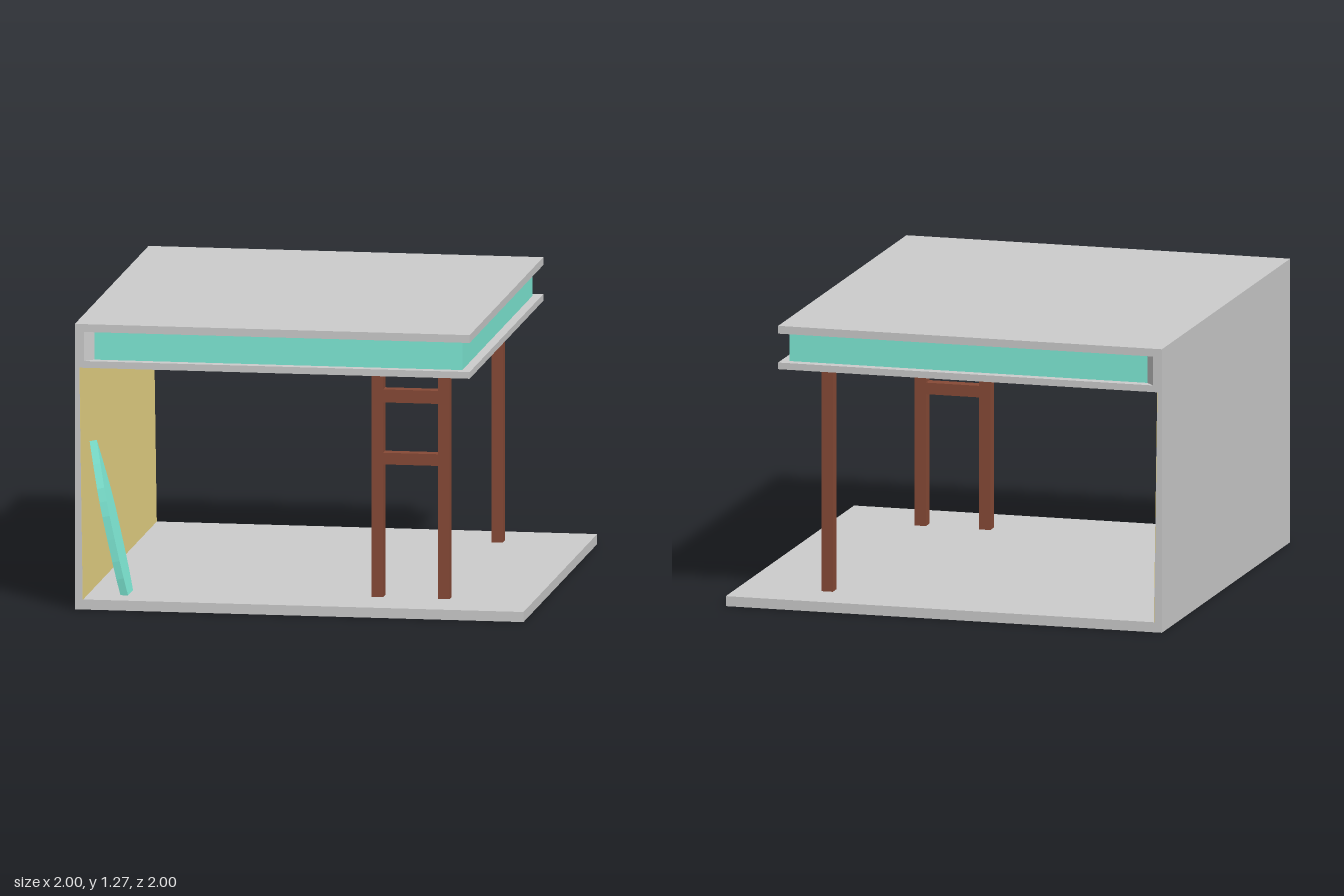
import * as THREE from 'three';

const paint = (color) => new THREE.MeshStandardMaterial({ color });

export function createModel() {
  const model = new THREE.Group();
  const grey = paint(0xcccccc);
  const teal = paint(0x7febd7);
  const brown = paint(0x874a36);
  const yellow = paint(0xe9d585);

  const add = (name, geometry, material) => {
    const mesh = new THREE.Mesh(geometry, material);
    mesh.name = name;
    model.add(mesh);
    return mesh;
  };
  // Box given by its lowest and highest corners
  const block = (name, material, [x0, y0, z0], [x1, y1, z1]) => {
    const mesh = add(name, new THREE.BoxGeometry(x1 - x0, y1 - y0, z1 - z0), material);
    mesh.position.set((x0 + x1) / 2, (y0 + y1) / 2, (z0 + z1) / 2);
    return mesh;
  };
  const extrude = (points, depth) => new THREE.ExtrudeGeometry(
    new THREE.Shape(points.map(([x, y]) => new THREE.Vector2(x, y))),
    { depth, bevelEnabled: false },
  );

  // Floor, tapering side wall, ceiling slab and roof slab as one section
  const shell = extrude([
    [-1, 0], [1, 0], [1, 0.045], [-0.965, 0.045], [-0.98, 1.08], [0.76, 1.08],
    [0.76, 1.11], [-0.96, 1.11], [-0.96, 1.24], [0.76, 1.24], [0.76, 1.275], [-1, 1.275],
  ], 2);
  add('shell', shell.translate(0, 0, -1), grey);

  // Painted inner face of the wall
  const lining = extrude([
    [-0.966, 0.045], [-0.963, 0.045], [-0.978, 1.08], [-0.981, 1.08],
  ], 1.998);
  add('wallLining', lining.translate(0, 0, -0.999), yellow);

  // Recessed band between the slabs, with slanted ends at the wall
  block('fascia', teal, [-0.92, 1.11, -0.955], [0.72, 1.24, 0.955]);
  const ends = extrude([
    [-0.97, -1], [-0.96, -1], [-0.92, -0.955], [-0.92, 0.955], [-0.96, 1], [-0.97, 1],
  ], 0.13);
  add('fasciaEnds', ends.rotateX(-Math.PI / 2).translate(0, 1.11, 0), grey);

  // Posts: a pair at the front, a single one at the back
  for (const [name, x, z] of [
    ['frontInnerPost', 0.304, 0.7], ['frontOuterPost', 0.6, 0.7], ['backPost', 0.6, -0.75],
  ]) {
    block(name, brown, [x - 0.026, 0.045, z - 0.03], [x + 0.026, 1.08, z + 0.03]);
  }

  // Rungs joining the front pair; the upper one has a painted underside
  block('lowerRung', brown, [0.33, 0.638, 0.672], [0.574, 0.69, 0.728]);
  block('upperRung', [brown, brown, brown, yellow, brown, brown],
    [0.33, 0.915, 0.672], [0.574, 0.973, 0.728]);

  // Pointed board leaning on the wall: [half width, distance along the board]
  const edge = [[0.068, 0], [0.082, 0.08], [0.089, 0.16], [0.09, 0.26], [0.088, 0.365],
    [0.08, 0.43], [0.069, 0.49], [0.035, 0.595]];
  const outline = [...edge, [0, 0.695], ...edge.map(([w, v]) => [-w, v]).reverse()];
  const board = add('leaningBoard', extrude(outline, 0.033).rotateY(Math.PI / 2), teal);
  board.rotation.z = THREE.MathUtils.degToRad(12.5);
  board.position.set(-0.817, 0.038, 0.798);

  return model;
}
